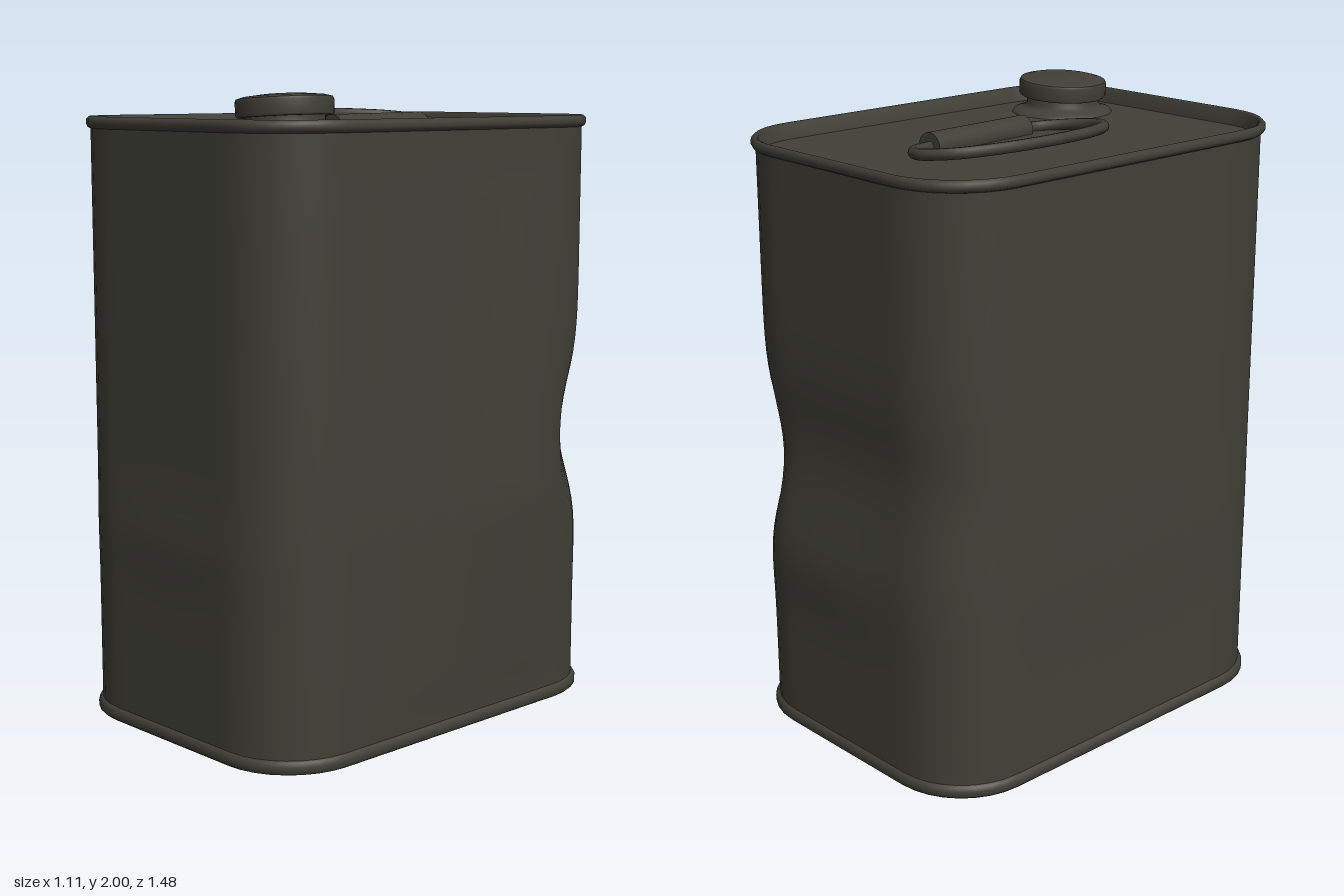
import * as THREE from 'three';

const CX = -0.015, HX = 0.54, HZ = 0.74, R = 0.26, LID = 1.875;

// Rounded rectangle outline in x/z, pulled in by an inset
function outline(inset) {
  const r = R - inset, pts = [], arc = 8, straight = 12;
  const corners = [[1, 1], [-1, 1], [-1, -1], [1, -1]];
  corners.forEach(([sx, sz], k) => {
    for (let i = 0; i <= arc; i++) {
      const a = (k + i / arc) * Math.PI / 2;
      pts.push([CX + sx * (HX - R) + r * Math.cos(a), sz * (HZ - R) + r * Math.sin(a)]);
    }
    // Points along the flat side to the next corner
    const [nx, nz] = corners[(k + 1) % 4], a = (k + 1) * Math.PI / 2;
    const end = [CX + nx * (HX - R) + r * Math.cos(a), nz * (HZ - R) + r * Math.sin(a)];
    const start = pts[pts.length - 1];
    for (let i = 1; i < straight; i++) {
      const t = i / straight;
      pts.push([start[0] + (end[0] - start[0]) * t, start[1] + (end[1] - start[1]) * t]);
    }
  });
  return pts;
}

const bump = (v, centre, width) => Math.exp(-(((v - centre) / width) ** 2));
const tent = (v, lo, mid, hi) => Math.max(0, v < mid ? (v - lo) / (mid - lo) : (hi - v) / (hi - mid));

// Knocks and bulges in the sheet metal
function dent(x, y, z) {
  const fade = Math.min(1, y / 0.15, (1.9 - y) / 0.2);
  const side = THREE.MathUtils.smoothstep(x, 0.3, 0.5);
  const back = THREE.MathUtils.smoothstep(-z, 0.45, 0.7);
  const corner = bump(x, 0.45, 0.14) * bump(z, -0.64, 0.14) * bump(y, 0.88, 0.2);
  const dx = side * 0.045 * tent(y, 0, 0.72, 1.8) * tent(z, -0.55, -0.33, 0.75)
    - 0.035 * corner
    - 0.007 * THREE.MathUtils.smoothstep(-x, 0.4, 0.54) * bump(y, 0.64, 0.15) * bump(z, 0, 0.4);
  const dz = back * (0.022 * bump(y, 0.98, 0.2) - 0.015 * bump(y, 0.6, 0.15) * bump(x, 0.1, 0.4))
    + 0.035 * corner
    + 0.01 * THREE.MathUtils.smoothstep(z, 0.5, 0.7) * bump(y, 0.64, 0.12) * bump(x, 0, 0.35);
  return [x + dx * fade, y, z + dz * fade];
}

// Skin through outlines given as [inset, y] levels
function loft(levels, shape = (x, y, z) => [x, y, z]) {
  const pos = [], index = [];
  let n = 0;
  levels.forEach(([inset, y]) => {
    const ring = outline(inset);
    n = ring.length;
    ring.forEach(([x, z]) => pos.push(...shape(x, y, z)));
  });
  for (let i = 0; i < levels.length - 1; i++) {
    for (let j = 0; j < n; j++) {
      const a = i * n + j, b = i * n + (j + 1) % n;
      index.push(a, a + n, b, b, a + n, b + n);
    }
  }
  const g = new THREE.BufferGeometry();
  g.setAttribute('position', new THREE.Float32BufferAttribute(pos, 3));
  g.setIndex(index);
  g.computeVertexNormals();
  return g;
}

// Flat panel filling the outline, facing up (1) or down (-1)
function panel(inset, y, facing) {
  const shape = new THREE.Shape(outline(inset).map(([x, z]) => new THREE.Vector2(x, -facing * z)));
  return new THREE.ShapeGeometry(shape).rotateX(-facing * Math.PI / 2).translate(0, y, 0);
}

export function createModel() {
  const group = new THREE.Group();
  const olive = new THREE.MeshStandardMaterial({ color: 0x403f37 });
  olive.name = 'dark olive paint';
  const add = (name, geometry, parent = group) => {
    const mesh = new THREE.Mesh(geometry, olive);
    mesh.name = name;
    parent.add(mesh);
    return mesh;
  };

  // Can body
  const wall = [];
  for (let i = 0; i <= 40; i++) wall.push([0.014, 0.042 + (1.888 - 0.042) * i / 40]);
  add('bodyWall', loft(wall, dent));
  add('bottomRim', loft([[0.03, 0.025], [0.022, 0.004], [0.01, 0], [0.001, 0.008],
    [0, 0.026], [0.006, 0.038], [0.016, 0.044]]));
  add('topRim', loft([[0.016, 1.886], [0.005, 1.892], [0, 1.902], [0.001, 1.916],
    [0.01, 1.925], [0.022, 1.92], [0.03, LID]]));
  add('lid', panel(0.03, LID, 1));
  add('bottom', panel(0.03, 0.025, -1));

  // Spout and screw cap, tilted a little
  const lathe = (pts) => new THREE.LatheGeometry(pts.map(([r, y]) => new THREE.Vector2(r, y)), 40);
  const spout = new THREE.Group();
  spout.name = 'spout';
  spout.position.set(0.265, LID, 0.49);
  group.add(spout);
  add('spoutNeck', lathe([[0.172, -0.005], [0.162, 0.01], [0.135, 0.018], [0.12, 0.03], [0.12, 0.065]]), spout);
  const cap = new THREE.Group();
  cap.name = 'cap';
  cap.position.y = 0.055;
  cap.rotation.z = 0.06;
  spout.add(cap);
  add('capUnderside', lathe([[0.1, 0], [0.14, 0]]), cap);
  add('capSide', lathe([[0.14, 0], [0.146, 0.006], [0.146, 0.046], [0.142, 0.054]]), cap);
  add('capTop', lathe([[0.142, 0.054], [0.12, 0.06], [0.06, 0.066], [0, 0.067]]), cap);

  // Wire handle, leaning so its left loop is higher
  const lean = (x, z) => new THREE.Vector3(x, 1.927 - 0.121 * (x + 0.265), z);
  const wire = new THREE.CatmullRomCurve3([
    [-0.09, -0.43], [-0.18, -0.39], [-0.24, -0.27], [-0.265, -0.1], [-0.25, 0.08], [-0.2, 0.21],
    [-0.13, 0.27], [-0.06, 0.28], [0.02, 0.25], [0.075, 0.19], [0.08, 0.12], [0.065, -0.08],
    [0.05, -0.28], [0.03, -0.36], [-0.02, -0.41],
  ].map(([x, z]) => lean(x, z)), true);
  add('handleWire', new THREE.TubeGeometry(wire, 96, 0.018, 10, true));

  // Rolled grip around the wire
  const a = lean(0.05, -0.29), b = lean(0.08, 0.13);
  const grip = add('handleGrip', new THREE.CylinderGeometry(0.045, 0.045, a.distanceTo(b), 20));
  grip.position.copy(a).lerp(b, 0.5);
  grip.quaternion.setFromUnitVectors(new THREE.Vector3(0, 1, 0), b.clone().sub(a).normalize());

  return group;
}
